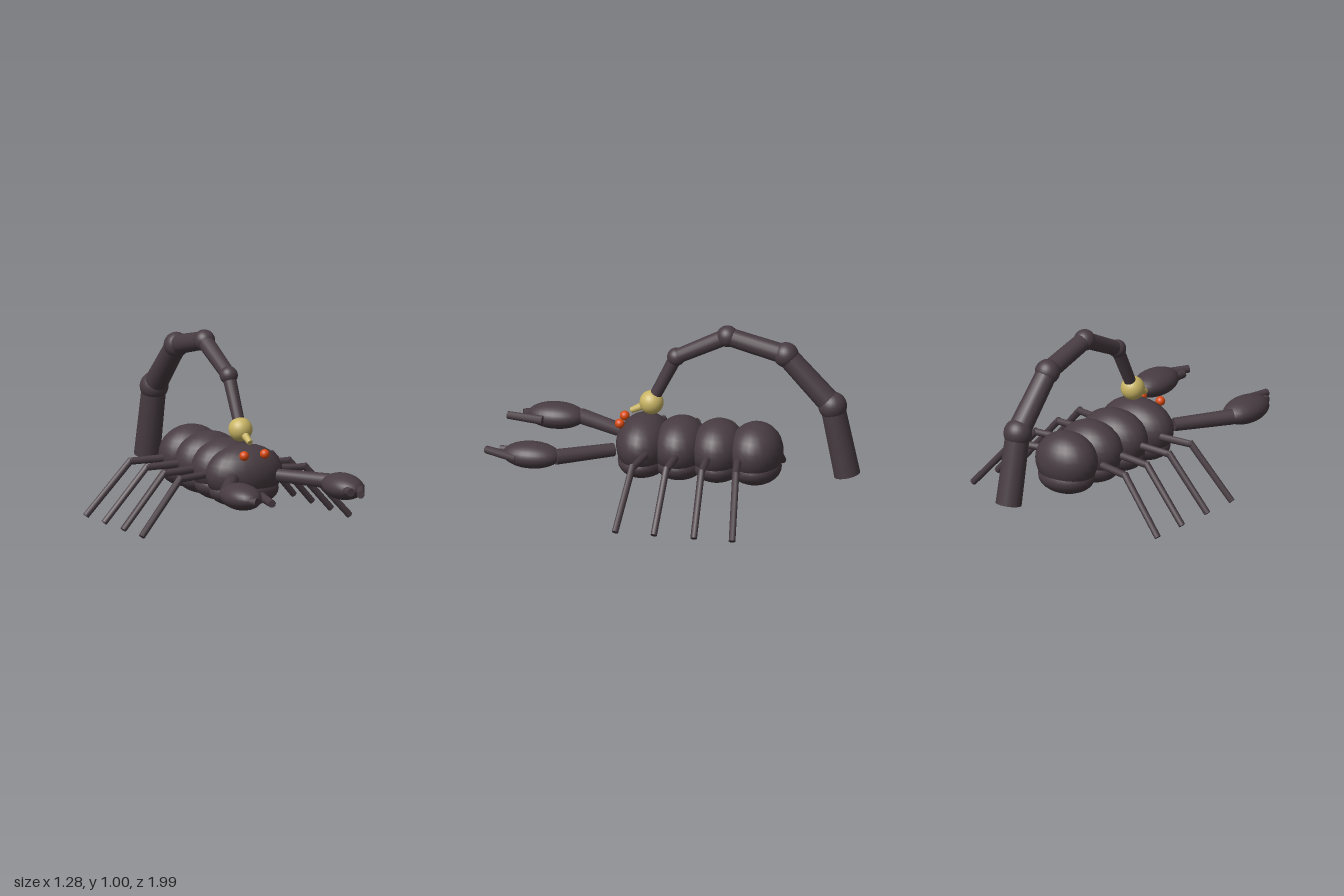
import * as THREE from 'three';

export function createModel() {
  const model = new THREE.Group();
  model.name = 'scorpion';
  const mat = (name, color) => Object.assign(new THREE.MeshStandardMaterial({ color }), { name });
  const shell = mat('dark shell', 0x483c42);
  const venom = mat('pale yellow', 0xc8b464);
  const eyeRed = mat('orange red', 0xd84a10);

  const add = (parent, name, geometry, material) => {
    const mesh = new THREE.Mesh(geometry, material);
    mesh.name = name;
    parent.add(mesh);
    return mesh;
  };
  // ellipsoid from a centre and three radii
  const ball = (parent, name, material, c, r) => {
    const mesh = add(parent, name, new THREE.SphereGeometry(1, 24, 16), material);
    mesh.position.set(...c);
    mesh.scale.set(...r);
  };
  // capped rod from point a (radius ra) to point b (radius rb)
  const rod = (parent, name, material, a, b, ra, rb, sides = 12) => {
    const p = new THREE.Vector3(...a), q = new THREE.Vector3(...b);
    const d = q.clone().sub(p);
    const mesh = add(parent, name, new THREE.CylinderGeometry(rb, ra, d.length(), sides), material);
    mesh.position.copy(p).add(q).multiplyScalar(0.5);
    mesh.quaternion.setFromUnitVectors(new THREE.Vector3(0, 1, 0), d.normalize());
  };
  const group = (name) => {
    const g = new THREE.Group();
    g.name = name;
    model.add(g);
    return g;
  };

  // Body: four overlapping back plates, each with a belly plate below
  const body = group('body');
  [[0.18, 0.22], [-0.02, 0.2], [-0.225, 0.19], [-0.43, 0.18]].forEach(([z, rx]) => {
    ball(body, 'backPlate', shell, [0, 0.3, z], [rx, 0.157, 0.147]);
    ball(body, 'bellyPlate', shell, [0, 0.21, z], [rx * 0.9, 0.09, 0.138]);
  });

  // Tail: tapering rods with round joints, arching forward over the back
  const tail = group('tail');
  const nodes = [[0.205, -0.93], [0.59, -0.85], [0.86, -0.595], [0.94, -0.275], [0.8, 0.005], [0.53, 0.14]];
  const rodRadii = [[0.071, 0.066], [0.064, 0.058], [0.053, 0.049], [0.045, 0.04], [0.036, 0.031]];
  const jointRadii = [0.077, 0.068, 0.058, 0.049];
  rodRadii.forEach(([ra, rb], i) => {
    rod(tail, 'tailSegment', shell, [0, ...nodes[i]], [0, ...nodes[i + 1]], ra, rb, 16);
    const r = jointRadii[i];
    if (r) ball(tail, 'tailJoint', shell, [0, ...nodes[i + 1]], [r, r, r]);
  });
  ball(tail, 'venomBulb', venom, [0, 0.53, 0.14], [0.065, 0.065, 0.065]);
  rod(tail, 'stinger', venom, [0, 0.53, 0.14], [0, 0.475, 0.25], 0.026, 0.016);

  // Legs, eyes, arms and claws on both sides
  const hips = [-0.375, -0.205, -0.033, 0.13];
  const feet = [-0.44, -0.23, -0.012, 0.2];
  [1, -1].forEach((s) => {
    const side = s > 0 ? 'left' : 'right';
    const legs = group(side + 'Legs');
    hips.forEach((hip, i) => {
      const knee = hip + (feet[i] - hip) * 0.43;
      rod(legs, 'upperLeg', shell, [s * 0.2, 0.3, hip], [s * 0.385, 0.295, knee], 0.021, 0.019, 8);
      rod(legs, 'lowerLeg', shell, [s * 0.37, 0.305, knee], [s * 0.627, 0.014, feet[i]], 0.019, 0.018, 8);
    });

    ball(model, side + 'Eye', eyeRed, [s * 0.062, 0.418, 0.3], [0.026, 0.026, 0.026]);

    const arm = group(side + 'Arm');
    rod(arm, 'foreArm', shell, [s * 0.14, 0.297, 0.315], [s * 0.318, 0.297, 0.595], 0.036, 0.042);
    ball(arm, 'claw', shell, [s * 0.307, 0.296, 0.727], [0.1, 0.07, 0.157]);
  });

  // Pincer fingers, set differently on each claw
  const fingers = group('pincerFingers');
  rod(fingers, 'leftLongFinger', shell, [0.38, 0.296, 0.79], [0.283, 0.296, 0.98], 0.025, 0.021, 8);
  rod(fingers, 'leftShortFinger', shell, [0.275, 0.296, 0.76], [0.262, 0.296, 0.908], 0.025, 0.023, 8);
  rod(fingers, 'rightLongFinger', shell, [-0.21, 0.296, 0.78], [-0.25, 0.296, 0.98], 0.025, 0.021, 8);
  rod(fingers, 'rightShortFinger', shell, [-0.36, 0.296, 0.77], [-0.3, 0.296, 0.905], 0.025, 0.023, 8);

  return model;
}
